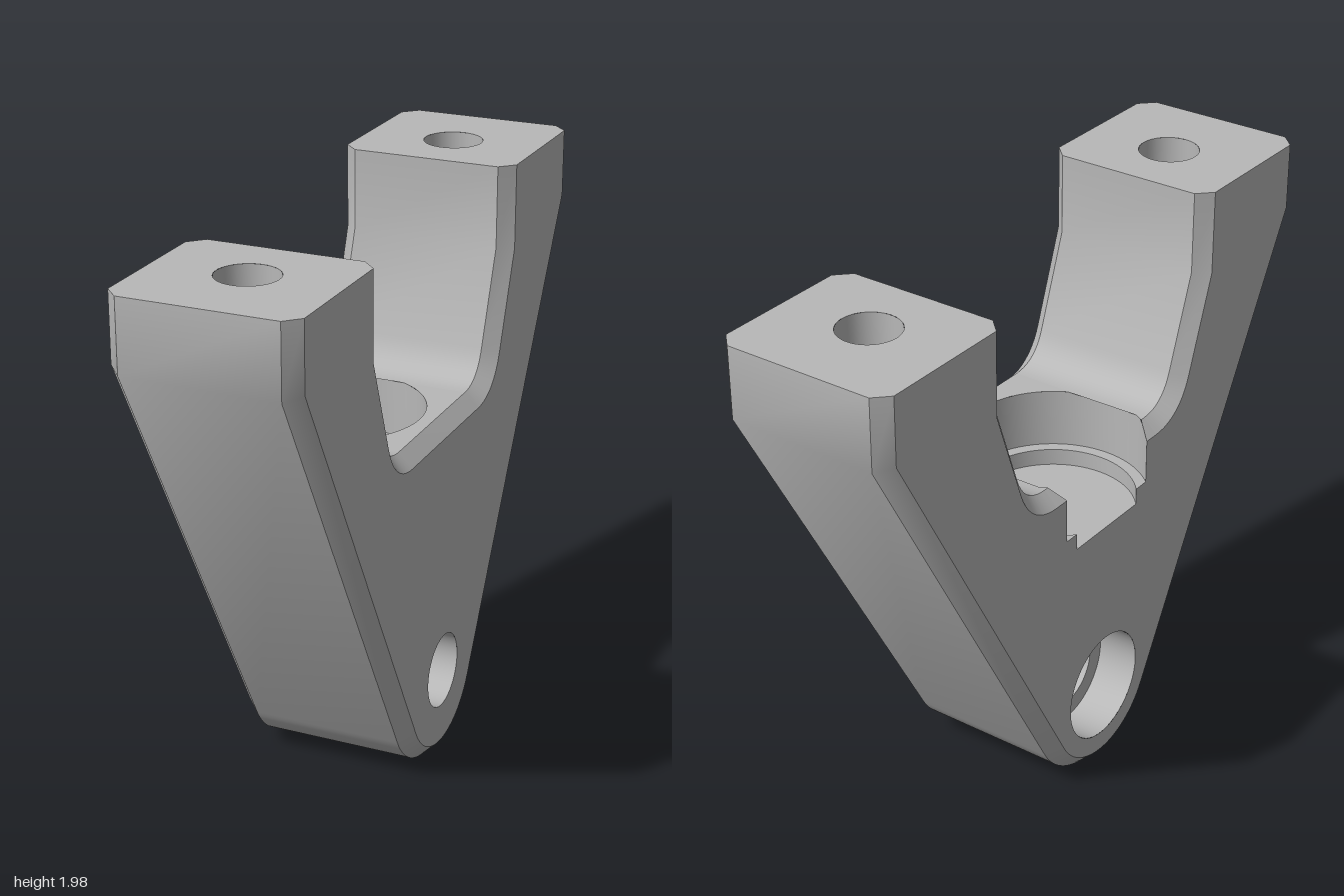
import * as THREE from 'three';
import { mergeGeometries, toCreasedNormals } from 'three/addons/utils/BufferGeometryUtils.js';

const TOP = 1.98, FLOOR = 1.25, C = 0.05;      // heights and chamfer size
const T = 0.318, W = T - C;                    // half thickness at the faces / before the chamfer
const OUT = 1.146, IN = 0.56, FLAT = 0.29;     // half widths: arms outside, arms inside, saddle floor
const PIN_Y = 0.322, PIN_R = 0.133, BORE_R = 0.2;
const BOLT_X = 0.817, BOLT_R = 0.105;
const POCKET_Z = -0.1, POCKET_R = 0.32, SEAT_R = 0.28, LEDGE_Y = 1.04, SEAT_Y = 0.98;

const V = (x, y, z) => new THREE.Vector3(x, y, z);

// Skin between successive rows of points; optional skip(row, column)
function loft(rows, skip = () => false) {
  const pos = [];
  const tri = (a, b, c) => {
    if (a.equals(b) || b.equals(c) || a.equals(c)) return;
    for (const p of [a, b, c]) pos.push(p.x, p.y, p.z);
  };
  for (let r = 0; r < rows.length - 1; r++) {
    const a = rows[r], b = rows[r + 1];
    for (let i = 0; i < a.length - 1; i++) {
      if (skip(r, i)) continue;
      tri(a[i], a[i + 1], b[i]);
      tri(a[i + 1], b[i + 1], b[i]);
    }
  }
  const g = new THREE.BufferGeometry();
  g.setAttribute('position', new THREE.Float32BufferAttribute(pos, 3));
  return toCreasedNormals(g, 0.54);
}

const ring = (n, f) => Array.from({ length: n + 1 }, (_, i) => f((i % n) / n * Math.PI * 2));

// Move an open outline into the material (right of travel) with mitred corners
function inset(pts) {
  const normal = (a, b) => new THREE.Vector2(b.y - a.y, a.x - b.x).normalize();
  return pts.map((p, i) => {
    const n1 = i > 0 ? normal(pts[i - 1], p) : normal(p, pts[i + 1]);
    const n2 = i < pts.length - 1 ? normal(p, pts[i + 1]) : n1;
    const m = n1.clone().add(n2).normalize();
    return p.clone().addScaledVector(m, C / m.dot(n1));
  });
}

function circleHole(shape, x, y, r) {
  shape.holes.push(new THREE.Path().absarc(x, y, r, 0, Math.PI * 2, true));
  return shape;
}

// Outer edge: right arm, round the pin eye, left arm
function outerOutline() {
  const dx = OUT, dy = 1.73 - PIN_Y;
  const tangent = Math.atan2(dy, dx) - Math.acos(PIN_Y / Math.hypot(dx, dy));
  const pts = [new THREE.Vector2(OUT, TOP), new THREE.Vector2(OUT, 1.73)];
  for (let i = 0; i <= 32; i++) {
    const a = tangent + (-Math.PI - 2 * tangent) * i / 32;
    pts.push(new THREE.Vector2(PIN_Y * Math.cos(a), PIN_Y + PIN_Y * Math.sin(a)));
  }
  pts.push(new THREE.Vector2(-OUT, 1.73), new THREE.Vector2(-OUT, TOP));
  return pts;
}

// Inner edge: down the left arm, across the saddle, up the right arm
function innerOutline() {
  const fillet = new THREE.QuadraticBezierCurve(new THREE.Vector2(-0.44, 1.36),
    new THREE.Vector2(-0.4, FLOOR), new THREE.Vector2(-FLAT, FLOOR)).getPoints(10);
  const left = [new THREE.Vector2(-IN, TOP), new THREE.Vector2(-IN, 1.69), ...fillet];
  return [...left, ...left.map(p => new THREE.Vector2(-p.x, p.y)).reverse()];
}

export function createModel() {
  const model = new THREE.Group();
  model.name = 'clevisBracket';
  const bracket = new THREE.Group();
  bracket.name = 'bracket';
  bracket.rotation.y = Math.PI / 4;
  model.add(bracket);
  const grey = new THREE.MeshStandardMaterial({ color: 0xb8b8b8 });
  grey.name = 'machinedGrey';
  const add = (name, geometry) => {
    const mesh = new THREE.Mesh(geometry, grey);
    mesh.name = name;
    bracket.add(mesh);
  };

  const outer = outerOutline(), inner = innerOutline();
  const outerIn = inset(outer), innerIn = inset(inner);
  const at = (pts, z) => pts.map(p => V(p.x, p.y, z));
  const chordX = (r, z) => Math.sqrt(r * r - (z - POCKET_Z) ** 2);
  const mouthTop = chordX(POCKET_R, -W), mouth = chordX(POCKET_R, -T), seatMouth = chordX(SEAT_R, -T);
  const mid = inner.length / 2 - 1;            // index of the saddle floor segment

  // Flat front face with the pin hole
  const front = circleHole(new THREE.Shape([...outerIn, ...innerIn]), 0, PIN_Y, PIN_R);
  add('frontFace', new THREE.ShapeGeometry(front, 48).translate(0, 0, T));

  // Flat back face, notched where the pocket breaks through
  const notch = [[-mouth, FLOOR - C], [-mouth, LEDGE_Y], [-seatMouth, LEDGE_Y], [-seatMouth, SEAT_Y],
    [seatMouth, SEAT_Y], [seatMouth, LEDGE_Y], [mouth, LEDGE_Y], [mouth, FLOOR - C]]
    .map(([x, y]) => new THREE.Vector2(x, y));
  const back = circleHole(new THREE.Shape([...outerIn, ...innerIn.slice(0, mid + 1), ...notch,
    ...innerIn.slice(mid + 1)]), 0, PIN_Y, BORE_R);
  add('backFace', new THREE.ShapeGeometry(back, 48).rotateY(Math.PI).translate(0, 0, -T));

  // Chamfered edge walls
  add('outerEdge', loft([at(outerIn, T), at(outer, W), at(outer, -W), at(outerIn, -T)]));
  add('innerEdge', loft([at(innerIn, T), at(inner, W), at(inner, -W), at(innerIn, -T)],
    (r, i) => r > 0 && i === mid));

  // Saddle floor, open at the back for the pocket
  const a0 = Math.asin((W + POCKET_Z) / POCKET_R);
  const floor = new THREE.Shape();
  floor.moveTo(-FLAT, -W).lineTo(FLAT, -W).lineTo(FLAT, W).lineTo(mouthTop, W);
  floor.absarc(0, -POCKET_Z, POCKET_R, a0, Math.PI - a0, true);
  floor.lineTo(-FLAT, W);
  add('saddleFloor', new THREE.ShapeGeometry(floor, 48).rotateX(-Math.PI / 2).translate(0, FLOOR, 0));
  const l = innerIn[mid], r = innerIn[mid + 1];
  add('saddleBackChamfer', mergeGeometries([
    loft([[V(-FLAT, FLOOR, -W), V(-mouthTop, FLOOR, -W)], [V(l.x, l.y, -T), V(-mouth, FLOOR - C, -T)]]),
    loft([[V(mouthTop, FLOOR, -W), V(FLAT, FLOOR, -W)], [V(mouth, FLOOR - C, -T), V(r.x, r.y, -T)]]),
  ]));

  // Round stepped pocket running out through the back
  const arc = (radius, height) => {
    const end = Math.asin((T + POCKET_Z) / radius), start = -Math.PI - end;
    return Array.from({ length: 65 }, (_, i) => {
      const a = start + (end - start) * i / 64;
      const z = POCKET_Z - radius * Math.sin(a);
      return V(radius * Math.cos(a), height(z), z);
    });
  };
  add('roundPocket', loft([
    arc(POCKET_R, z => FLOOR - Math.max(0, -z - W)),
    arc(POCKET_R, () => LEDGE_Y), arc(SEAT_R, () => LEDGE_Y), arc(SEAT_R, () => SEAT_Y),
    Array.from({ length: 65 }, () => V(0, SEAT_Y, -T)),
  ]));

  // Pin hole with a counterbore at the back
  const pinRing = (rad, z) => ring(48, a => V(rad * Math.cos(a), PIN_Y + rad * Math.sin(a), z));
  add('pinHole', loft([pinRing(PIN_R, T), pinRing(PIN_R, -0.168), pinRing(BORE_R, -0.168), pinRing(BORE_R, -T)]));

  // Arm tops with blind, cone-ended bolt holes
  for (const s of [1, -1]) {
    const side = s > 0 ? 'left' : 'right';
    const pad = new THREE.Shape([[IN, -W], [IN + C, -T], [OUT - C, -T], [OUT, -W],
      [OUT, W], [OUT - C, T], [IN + C, T], [IN, W]].map(([x, y]) => new THREE.Vector2(s * x, y)));
    circleHole(pad, s * BOLT_X, 0, BOLT_R);
    add(side + 'ArmTop', new THREE.ShapeGeometry(pad, 32).rotateX(-Math.PI / 2).translate(0, TOP, 0));
    const boltRing = (rad, y) => ring(32, a => V(s * BOLT_X + rad * Math.cos(a), y, -rad * Math.sin(a)));
    add(side + 'BoltHole', loft([boltRing(BOLT_R, TOP), boltRing(BOLT_R, 1.58), boltRing(0, 1.52)]));
  }
  return model;
}
